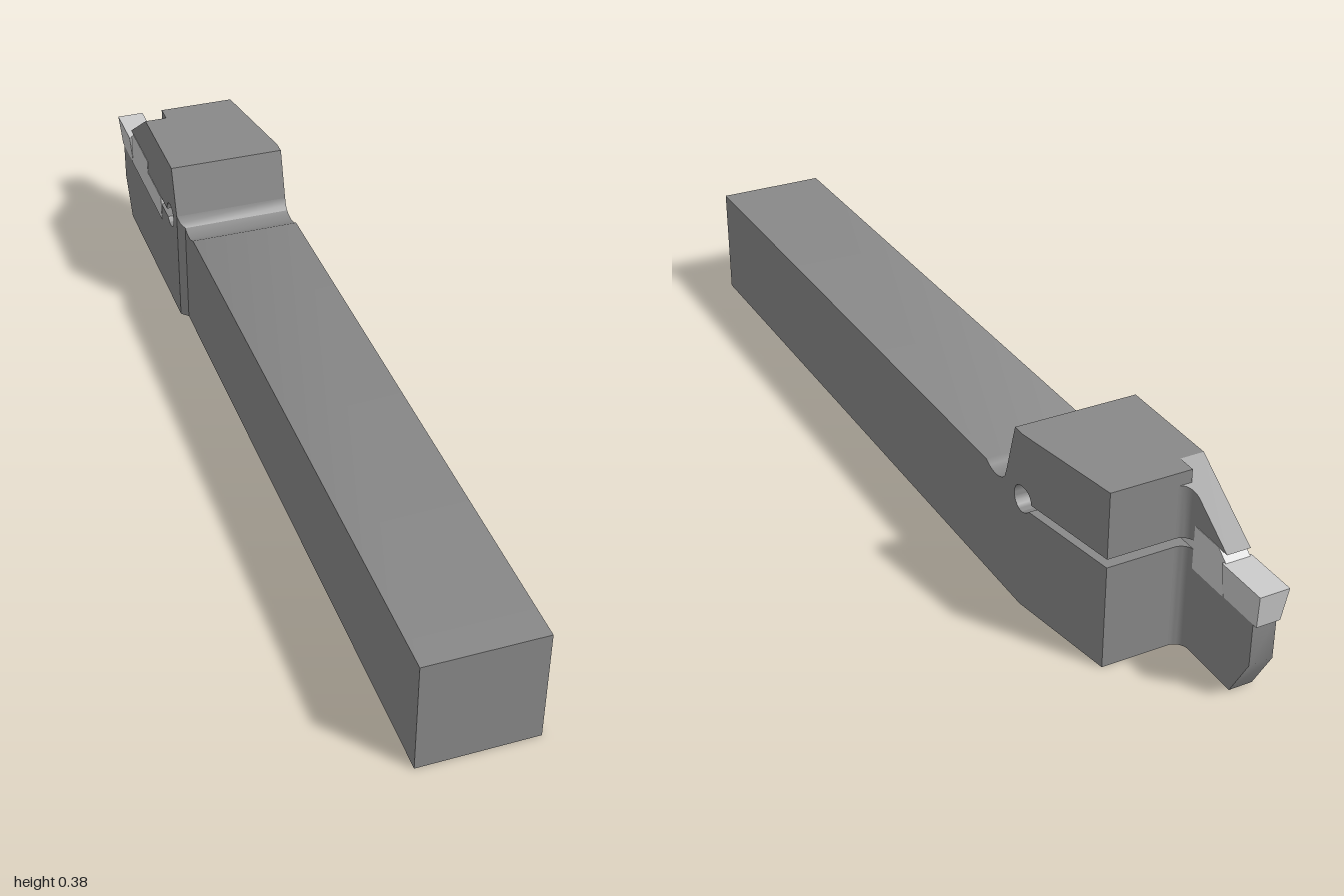
import * as THREE from 'three';
import { toCreasedNormals } from 'three/addons/utils/BufferGeometryUtils.js';

// Profiles are written as [s, y], where s = -z runs from the shank end to the cutting tip.
const steel = new THREE.MeshStandardMaterial({ color: 0x888888 });
const carbide = new THREE.MeshStandardMaterial({ color: 0xcccccc });

const HOLE = { s: 0.53, y: 0.24, r: 0.028 };
const SLOT = 0.222; // floor of the clamping slot; its roof is at the hole centre

// Points on the relief hole between two angles in degrees
function holeArc(from, to, n = 10) {
  return Array.from({ length: n + 1 }, (_, i) => {
    const a = THREE.MathUtils.degToRad(from + (to - from) * i / n);
    return [HOLE.s + HOLE.r * Math.cos(a), HOLE.y + HOLE.r * Math.sin(a)];
  });
}

function extrude(points) {
  const shape = new THREE.Shape(points.map(p => new THREE.Vector2(...p)));
  return new THREE.ExtrudeGeometry(shape, { depth: 1, bevelEnabled: false });
}

// Side profile spanning x = left(s, y) to right(s, y); faces lying on a joint are left out
function slab(name, points, left, right, joints = [], material = steel) {
  const pos = extrude(points).rotateY(Math.PI / 2).attributes.position;
  const at = (f, s, y) => (typeof f === 'function' ? f(s, y) : f);
  const out = [];
  for (let i = 0; i < pos.count; i += 3) {
    const tri = [i, i + 1, i + 2];
    if (joints.some(j => tri.every(k => Math.abs(pos.getZ(k) + j) < 1e-5))) continue;
    for (const k of tri) {
      const y = pos.getY(k), s = -pos.getZ(k);
      out.push(THREE.MathUtils.lerp(at(left, s, y), at(right, s, y), pos.getX(k)), y, -s);
    }
  }
  const geo = new THREE.BufferGeometry();
  geo.setAttribute('position', new THREE.Float32BufferAttribute(out, 3));
  const mesh = new THREE.Mesh(toCreasedNormals(geo, 0.6), material);
  mesh.name = name;
  return mesh;
}

// Upright concave fillet between the blade and the front of the head
function fillet(name, y0, topAt) {
  const r = 0.028, pts = [[-0.08, 0.77]];
  for (let i = 0; i <= 8; i++) {
    const a = Math.PI * (1.5 - 0.5 * i / 8);
    pts.push([-0.08 + r + r * Math.cos(a), 0.77 + r + r * Math.sin(a)]);
  }
  const geo = extrude(pts).rotateX(-Math.PI / 2);
  const pos = geo.attributes.position;
  for (let i = 0; i < pos.count; i++) {
    pos.setY(i, THREE.MathUtils.lerp(y0, topAt(-pos.getZ(i)), pos.getY(i)));
  }
  const mesh = new THREE.Mesh(toCreasedNormals(geo, 0.6), steel);
  mesh.name = name;
  return mesh;
}

export function createModel() {
  const group = new THREE.Group();
  const outer = -0.13, web = -0.08, side = 0.13;
  const taper = s => side - 0.04 * (s - 0.53) / 0.24;
  const slope = s => 0.38 - (s - 0.73) * 0.11 / 0.16;

  // Square shank with the shallow groove in front of the head
  group.add(slab('shank',
    [[-1, 0], [0.455, 0], [0.455, 0.245], [0.443, 0.24], [0.43, 0.238],
      [0.415, 0.239], [0.403, 0.243], [0.39, 0.25], [-1, 0.25]],
    -0.115, side, [0.455]));

  // Short step out to the wider head
  group.add(slab('headStep',
    [[0.455, 0], [0.47, 0], [0.47, 0.27], [0.464, 0.254], [0.455, 0.245]],
    s => -0.115 - (s - 0.455), side, [0.455, 0.47]));

  // Rear of the head, with half of the relief hole
  group.add(slab('headRear',
    [[0.47, 0], [0.53, 0], ...holeArc(270, 90), [0.53, 0.38], [0.5, 0.38], [0.47, 0.27]],
    outer, side, [0.47, 0.53]));

  // Tapered head below and above the slot
  const lowArc = holeArc(-40, -90), highArc = holeArc(90, 0);
  group.add(slab('headLower',
    [[0.53, 0], [0.77, 0], [0.77, SLOT], ...lowArc],
    web, taper, [0.53]));
  group.add(slab('headClamp',
    [[0.53, 0.38], ...highArc, [0.77, HOLE.y], [0.77, 0.38]],
    web, taper, [0.53]));

  // Thin blade with the insert seat, and the clamping jaw over it
  group.add(slab('blade',
    [[0.53, 0], [0.93, 0], [0.98, 0.09], [0.98, 0.18], [0.61, 0.18], [0.61, SLOT], ...lowArc],
    outer, web, [0.53]));
  group.add(slab('bladeJaw',
    [[0.53, 0.38], ...highArc, [0.73, HOLE.y], [0.73, 0.27], [0.89, 0.27], [0.73, 0.38]],
    outer, web, [0.53]));
  group.add(fillet('bladeFilletLower', 0, () => SLOT));
  group.add(fillet('bladeFilletUpper', HOLE.y, slope));

  // Cutting insert: narrow body and flared tip
  const insert = new THREE.Group();
  insert.name = 'cuttingInsert';
  insert.add(slab('insertBody',
    [[0.61, 0.18], [0.89, 0.18], [0.89, 0.252], [0.865, 0.272], [0.73, 0.272], [0.73, HOLE.y], [0.61, HOLE.y]],
    -0.131, -0.079, [], carbide));
  const flare = (s, y) => 0.025 + 0.006 * (y - 0.18) / 0.07;
  insert.add(slab('insertTip',
    [[0.885, 0.18], [0.99, 0.18], [1, 0.252], [0.885, 0.252]],
    (s, y) => -0.105 - flare(s, y), (s, y) => -0.105 + flare(s, y), [], carbide));
  group.add(insert);

  return group;
}
